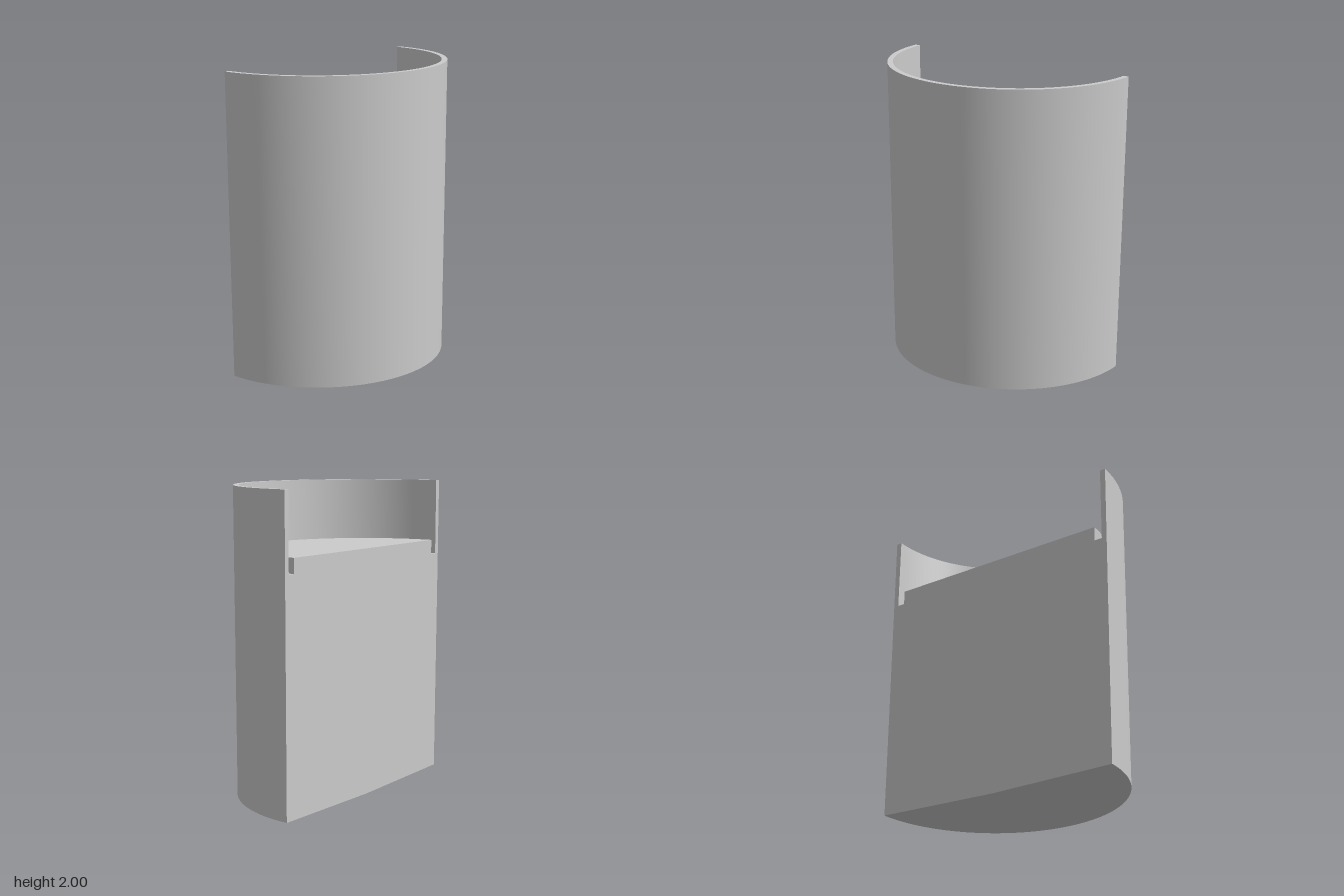
import * as THREE from 'three';
import { toCreasedNormals } from 'three/addons/utils/BufferGeometryUtils.js';

const BACK = -0.4225; // plane of the flat cut
const material = new THREE.MeshStandardMaterial({ color: 0xcccccc });

// Half of a turned solid: revolved skin in front, flat section at the back.
// The profile holds [radius, height] pairs, running up the outside.
function halfTurned(name, profile) {
  const group = new THREE.Group();
  group.name = name;

  const points = profile.map(([r, y]) => new THREE.Vector2(r, y));
  const lathe = new THREE.LatheGeometry(points, 72, -Math.PI / 2, Math.PI);
  const skin = new THREE.Mesh(toCreasedNormals(lathe, 0.5), material);
  skin.name = name + 'Skin';

  // Mirror the profile across the axis to get the section outline
  const mirrored = points.filter((p) => p.x > 0).reverse().map((p) => new THREE.Vector2(-p.x, p.y));
  const outline = new THREE.Shape([...points, ...mirrored]);
  const section = new THREE.Mesh(new THREE.ShapeGeometry(outline), material);
  section.name = name + 'Section';
  section.rotation.y = Math.PI;

  group.add(skin, section);
  group.position.z = BACK;
  return group;
}

export function createModel() {
  const model = new THREE.Group();
  model.name = 'halfCup';

  // Slightly flared body with a shallow conical base, thin rim and groove floor
  model.add(halfTurned('body', [
    [0, 0], [0.835, 0.015], [0.845, 2], [0.808, 2], [0.808, 1.505], [0.757, 1.505],
  ]));

  // Raised disc inside the rim
  model.add(halfTurned('raisedFloor', [
    [0.757, 1.505], [0.757, 1.6], [0, 1.6],
  ]));

  return model;
}
